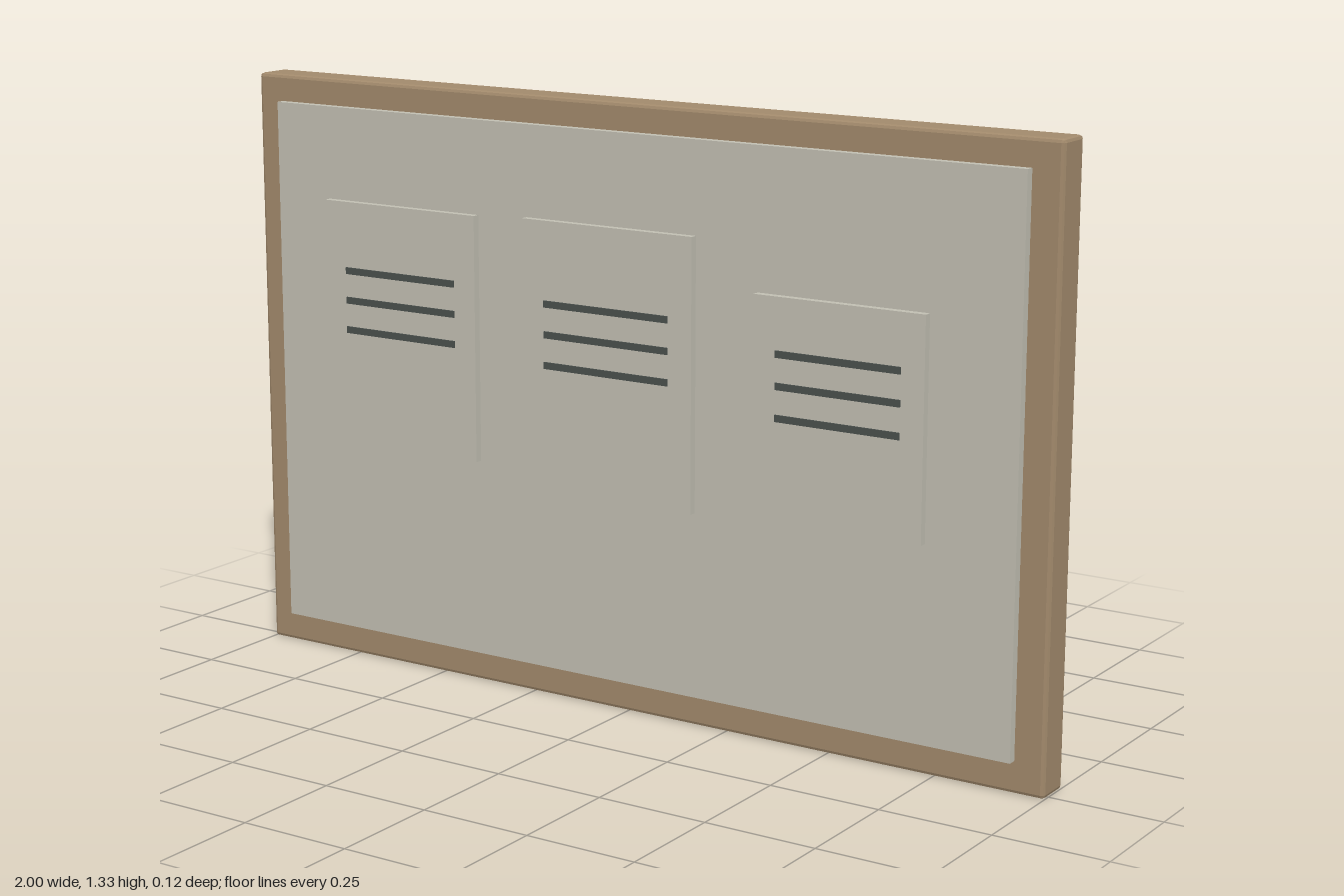
import * as THREE from 'three';
import { RoundedBoxGeometry } from 'three/addons/geometries/RoundedBoxGeometry.js';

const material = (name, color) => {
  const m = new THREE.MeshStandardMaterial({ color });
  m.name = name;
  return m;
};

export function createModel() {
  const group = new THREE.Group();
  group.name = 'noticeBoard';
  const wood = material('wood', 0xa28a6c);
  const paper = material('paper', 0xc2bfb3);
  const ink = material('ink', 0x4a504d);

  // Place a geometry at the middle of its x, y and z ranges
  const add = (name, geometry, mat, [x0, x1], [y0, y1], [z0, z1]) => {
    const mesh = new THREE.Mesh(geometry, mat);
    mesh.name = name;
    mesh.position.set((x0 + x1) / 2, (y0 + y1) / 2, (z0 + z1) / 2);
    group.add(mesh);
  };
  const slab = (name, mat, x, y, z) =>
    add(name, new THREE.BoxGeometry(x[1] - x[0], y[1] - y[0], z[1] - z[0]), mat, x, y, z);

  // Solid wooden backing with narrow bevelled edges
  const backing = new RoundedBoxGeometry(2, 1.33, 0.085, 1, 0.008);
  backing.computeVertexNormals();
  add('backing', backing, wood, [-1, 1], [0, 1.33], [-0.0625, 0.0225]);

  // Raised pale panel
  slab('panel', paper, [-0.933, 0.933], [0.07, 1.27], [0.015, 0.042]);

  // Pinned sheets, each with three dark stripes
  const sheets = [
    { name: 'leftSheet', x: [-0.787, -0.375], y: [0.515, 1.063], stripe: [-0.73, -0.43], top: 0.908 },
    { name: 'middleSheet', x: [-0.247, 0.183], y: [0.478, 1.07], stripe: [-0.19, 0.125], top: 0.89 },
    { name: 'rightSheet', x: [0.333, 0.73], y: [0.495, 0.967], stripe: [0.387, 0.677], top: 0.848 },
  ];
  for (const { name, x, y, stripe, top } of sheets) {
    slab(name, paper, x, y, [0.042, 0.059]);
    for (let i = 0; i < 3; i++) {
      const yc = top - i * 0.0672;
      slab(`${name} stripe ${i + 1}`, ink, stripe, [yc - 0.0075, yc + 0.0075], [0.056, 0.0625]);
    }
  }
  return group;
}
